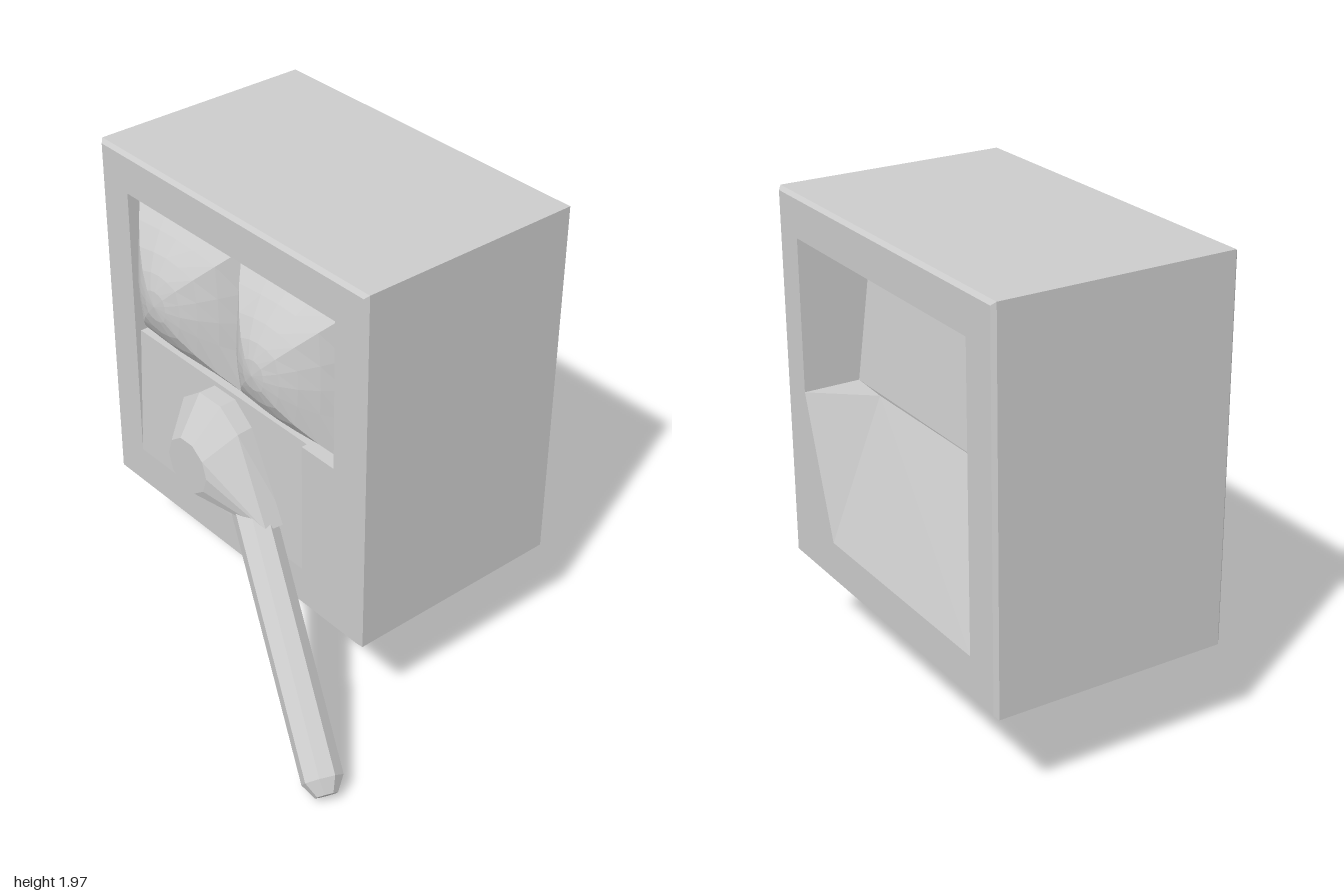
import * as THREE from 'three';
import { ConvexGeometry } from 'three/addons/geometries/ConvexGeometry.js';

const V = (x, y, z) => new THREE.Vector3(x, y, z);
const material = new THREE.MeshStandardMaterial({
  color: 0xcccccc, flatShading: true, side: THREE.DoubleSide,
});

function add(group, name, geometry) {
  const mesh = new THREE.Mesh(geometry, material);
  mesh.name = name;
  group.add(mesh);
  return mesh;
}

// Flat polygons, each a list of corners, fanned into triangles
function polygons(list) {
  const points = [];
  for (const p of list) {
    for (let i = 1; i < p.length - 1; i++) points.push(p[0], p[i], p[i + 1]);
  }
  const geometry = new THREE.BufferGeometry().setFromPoints(points);
  geometry.computeVertexNormals();
  return geometry;
}

// Case outline, inset by d
const outline = (d) => [
  [-0.92 + d, 0.44 + d], [0.63 - d, 0.44 + d], [0.63 - d, 2 - d], [-0.92 + d, 2 - d],
];

// Flat frame: case outline with an opening cut through
function frame(d, hole, z, back) {
  const shape = new THREE.Shape(outline(d).map(([x, y]) => new THREE.Vector2(x, y)));
  shape.holes.push(new THREE.Path(hole.map(([x, y]) => new THREE.Vector2(x, y))));
  const geometry = new THREE.ShapeGeometry(shape);
  if (back) {
    // turn the face to look backwards
    const index = geometry.index.array;
    for (let i = 0; i < index.length; i += 3) {
      [index[i], index[i + 1]] = [index[i + 1], index[i]];
    }
    geometry.computeVertexNormals();
  }
  return geometry.translate(0, 0, z);
}

// Puffed cushion: round at the crown, square at the rim
function cushion(width, height, rise) {
  const geometry = new THREE.RingGeometry(0, 1, 16, 5);
  const p = geometry.attributes.position;
  for (let i = 0; i < p.count; i++) {
    const x = p.getX(i), y = p.getY(i);
    const r = Math.hypot(x, y);
    const square = r > 0 ? r / Math.max(Math.abs(x), Math.abs(y)) : 1;
    const s = 1 + (square - 1) * r;
    p.setXYZ(i, x * s * width / 2, y * s * height / 2, rise * (1 - r * r));
  }
  geometry.computeVertexNormals();
  return geometry;
}

export function createModel() {
  const model = new THREE.Group();
  model.name = 'boxHead';

  // Case: chamfered sleeve with a frame at each end
  const rings = [[0.015, -0.7], [0, -0.685], [0, 0.285], [0.015, 0.3]]
    .map(([d, z]) => outline(d).map(([x, y]) => V(x, y, z)));
  const sleeve = [];
  for (let k = 0; k < 3; k++) {
    for (let i = 0; i < 4; i++) {
      const j = (i + 1) % 4;
      sleeve.push([rings[k][i], rings[k][j], rings[k + 1][j], rings[k + 1][i]]);
    }
  }
  add(model, 'caseSides', polygons(sleeve));
  const frontHole = [[-0.75, 1.83], [0.47, 1.83], [0.47, 1.2], [0.29, 1.2], [0.29, 0.62], [-0.75, 0.62]];
  const backHole = [[-0.75, 1.83], [0.48, 1.83], [0.48, 1.2], [0.29, 0.62], [-0.75, 0.62]];
  add(model, 'frontFrame', frame(0.015, frontHole, 0.3, false));
  add(model, 'backFrame', frame(0.015, backHole, -0.7, true));

  // Back recess: tilted upper panel, sloping lower panel and their walls
  const [A, B, C, D, E] = backHole.map(([x, y]) => V(x, y, -0.7));
  const a = V(-0.75, 1.81, -0.38), b = V(0.48, 1.81, -0.38);
  const c = V(0.48, 1.2, -0.46), k = V(0.29, 1.2, -0.47), g = V(-0.75, 1.2, -0.46);
  add(model, 'backRecess', polygons([
    [a, b, c, g], [A, B, b, a], [B, C, c, b],
    [C, k, c], [C, D, k], [k, D, E, g], [A, a, g, E],
  ]));

  // Front recess: slightly leaning lower panel and shallow window walls
  const low = 0.275, deep = 0.24;
  add(model, 'frontPanel', polygons([
    [V(-0.75, 0.62, 0.3), V(0.29, 0.62, 0.3), V(0.29, 1.2, low), V(-0.75, 1.2, low)],
    [V(-0.75, 0.62, 0.3), V(-0.75, 1.2, low), V(-0.75, 1.2, 0.3)],
    [V(0.29, 0.62, 0.3), V(0.29, 1.2, 0.3), V(0.29, 1.2, low)],
  ]));
  add(model, 'windowWalls', polygons([
    [V(-0.75, 1.83, 0.3), V(-0.75, 1.83, deep), V(0.47, 1.83, deep), V(0.47, 1.83, 0.3)],
    [V(-0.75, 1.2, 0.3), V(-0.75, 1.2, deep), V(-0.75, 1.83, deep), V(-0.75, 1.83, 0.3)],
    [V(0.47, 1.2, 0.3), V(0.47, 1.83, 0.3), V(0.47, 1.83, deep), V(0.47, 1.2, deep)],
    [V(-0.75, 1.2, low), V(0.29, 1.2, low), V(0.29, 1.2, deep), V(-0.75, 1.2, deep)],
    [V(0.29, 1.2, 0.3), V(0.47, 1.2, 0.3), V(0.47, 1.2, deep), V(0.29, 1.2, deep)],
  ]));

  // Pair of bulging eyes filling the window
  add(model, 'rightEye', cushion(0.63, 0.63, 0.185)).position.set(-0.435, 1.515, deep);
  add(model, 'leftEye', cushion(0.59, 0.63, 0.2)).position.set(0.175, 1.515, deep);

  // Nose: faceted knob drawn out to a corner
  const knob = [];
  for (const [r, z, y] of [[0.205, 0.25, 0.985], [0.21, 0.35, 0.98], [0.12, 0.47, 0.92]]) {
    for (let i = 0; i < 10; i++) {
      const t = (i / 10) * Math.PI * 2;
      knob.push(V(-0.2 + r * Math.cos(t), y + r * Math.sin(t), z));
    }
  }
  knob.push(V(0.17, 0.76, 0.27), V(0.16, 0.76, 0.37), V(-0.08, 0.76, 0.4), V(-0.08, 0.76, 0.27));
  add(model, 'nose', new ConvexGeometry(knob));

  // Stick: eight-sided rod with a blunt tip
  const start = V(0, 0.8, 0.32), end = V(0.85, 0.06, 0.652);
  const axis = end.clone().sub(start);
  const length = axis.length();
  const profile = [[0, 0], [0.085, 0], [0.083, length - 0.06], [0.045, length], [0, length]]
    .map(([r, y]) => new THREE.Vector2(r, y));
  const stick = add(model, 'stick', new THREE.LatheGeometry(profile, 8));
  stick.position.copy(start);
  stick.quaternion.setFromUnitVectors(V(0, 1, 0), axis.normalize());

  // Faceted knob under the case
  const foot = add(model, 'bottomKnob', new THREE.IcosahedronGeometry(1, 1));
  foot.scale.set(0.235, 0.165, 0.235);
  foot.position.set(-0.155, 0.425, -0.285);

  return model;
}
